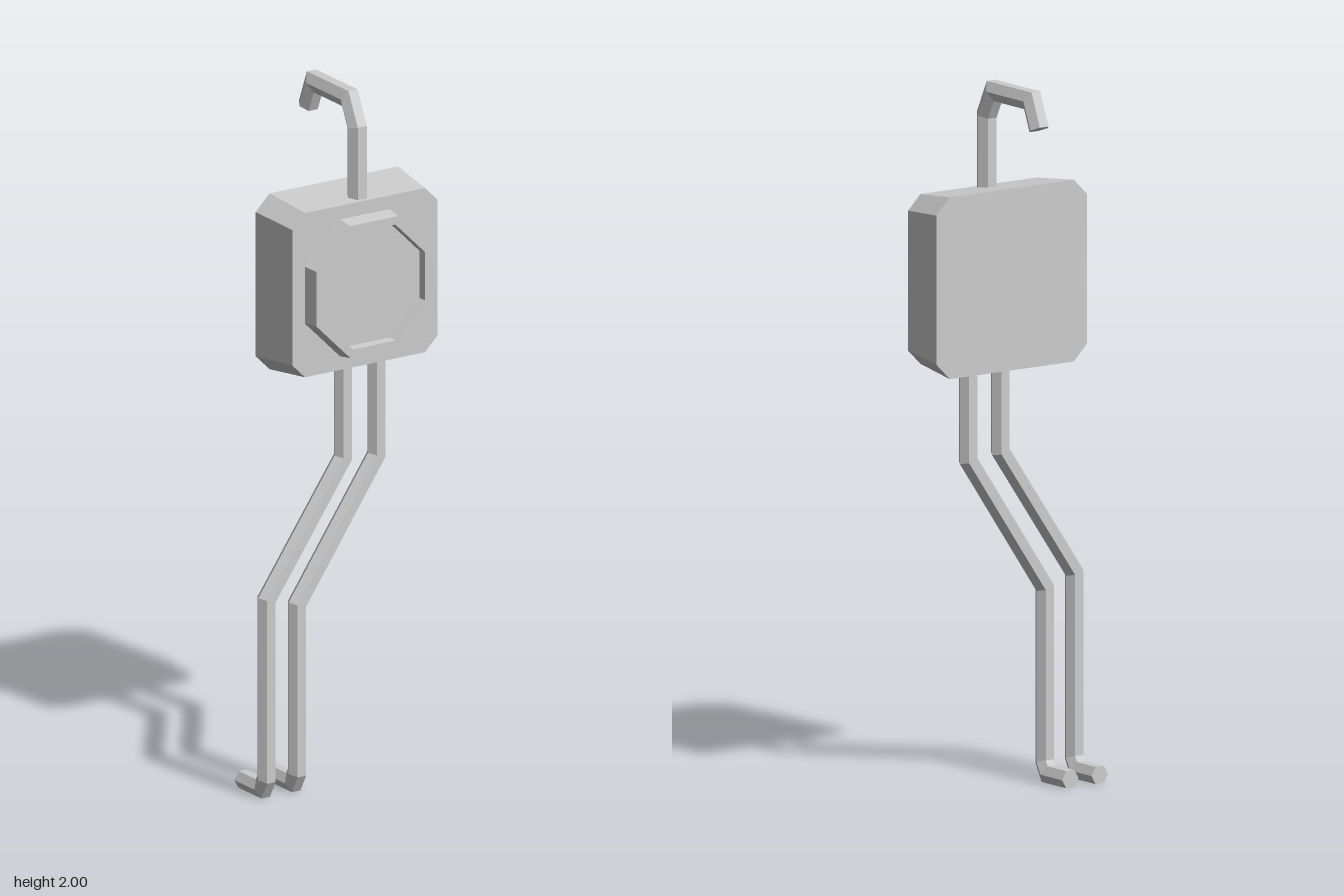
import * as THREE from 'three';

const material = new THREE.MeshStandardMaterial({ color: 0xcccccc, flatShading: true });
const V = (x, y, z) => new THREE.Vector3(x, y, z);

// Skin a closed solid over rings of points (counter-clockwise about the direction of travel)
function loft(name, rings) {
  const pos = [];
  const tri = (...pts) => pts.forEach((p) => pos.push(p.x, p.y, p.z));
  const n = rings[0].length;
  const first = rings[0], last = rings[rings.length - 1];
  for (let j = 0; j < n; j++) {
    const k = (j + 1) % n;
    for (let i = 0; i < rings.length - 1; i++) {
      const a = rings[i], b = rings[i + 1];
      tri(a[j], a[k], b[k]);
      tri(a[j], b[k], b[j]);
    }
    if (j > 0 && k > 0) {
      tri(first[0], first[k], first[j]);
      tri(last[0], last[j], last[k]);
    }
  }
  const geometry = new THREE.BufferGeometry();
  geometry.setAttribute('position', new THREE.Float32BufferAttribute(pos, 3));
  geometry.computeVertexNormals();
  const mesh = new THREE.Mesh(geometry, material);
  mesh.name = name;
  return mesh;
}

// Hexagonal bar along a path that starts vertically, with mitred bends
function bar(name, path, radius) {
  const dirs = path.slice(1).map((p, i) => p.clone().sub(path[i]).normalize());
  const turn = -Math.sign(dirs[0].y);
  let ring = Array.from({ length: 6 }, (_, i) => {
    const a = (i * Math.PI) / 3;
    return V(Math.cos(a) * radius, 0, turn * Math.sin(a) * radius).add(path[0]);
  });
  const rings = [ring];
  for (let i = 1; i < path.length; i++) {
    const d = dirs[i - 1];
    const normal = d.clone().add(dirs[i] || d).normalize();
    // slide each corner along the segment onto the mitre plane
    ring = ring.map((p) => {
      const t = path[i].clone().sub(p).dot(normal) / d.dot(normal);
      return p.clone().addScaledVector(d, t);
    });
    rings.push(ring);
  }
  return loft(name, rings);
}

const CX = 0.035, CY = 1.455;

// Square with cut corners, facing +z
function cutSquare(hx, hy, cut, z) {
  return [
    [hx, -hy + cut], [hx, hy - cut], [hx - cut, hy], [-hx + cut, hy],
    [-hx, hy - cut], [-hx, -hy + cut], [-hx + cut, -hy], [hx - cut, -hy],
  ].map(([x, y]) => V(CX + x, CY + y, z));
}

// Regular octagon with flat sides, facing +z
const octagon = (apothem, z) =>
  cutSquare(apothem, apothem, apothem * (1 - Math.tan(Math.PI / 8)), z);

export function createModel() {
  const group = new THREE.Group();
  group.name = 'device';

  // Tapered housing
  group.add(loft('housing', [
    cutSquare(0.259, 0.256, 0.046, -0.027),
    cutSquare(0.241, 0.239, 0.042, 0.129),
  ]));

  // Octagonal dial with raised rim and sunken face
  group.add(loft('dial', [
    octagon(0.2, 0.125), octagon(0.192, 0.175),
    octagon(0.169, 0.175), octagon(0.166, 0.15),
  ]));

  // Hook on top, curling to the back
  group.add(bar('hook', [
    V(0.033, 1.6, 0.0925), V(0.033, 1.9, 0.0925), V(0.033, 1.974, 0.056),
    V(0.033, 1.974, -0.119), V(0.033, 1.897, -0.151),
  ], 0.03));

  // Pair of cranked prongs with feet turned back
  const prongs = [
    ['leftProng', 0.097, 0.935, -0.166, 0.547],
    ['rightProng', -0.014, 0.947, -0.267, 0.578],
  ];
  for (const [name, topX, topY, lowX, lowY] of prongs) {
    group.add(bar(name, [
      V(topX, 1.3, 0.0925), V(topX, topY, 0.0925), V(lowX, lowY, 0.0925),
      V(lowX, 0.057, 0.0925), V(lowX, 0.024, 0.074), V(lowX, 0.024, -0.027),
    ], 0.028));
  }
  return group;
}
